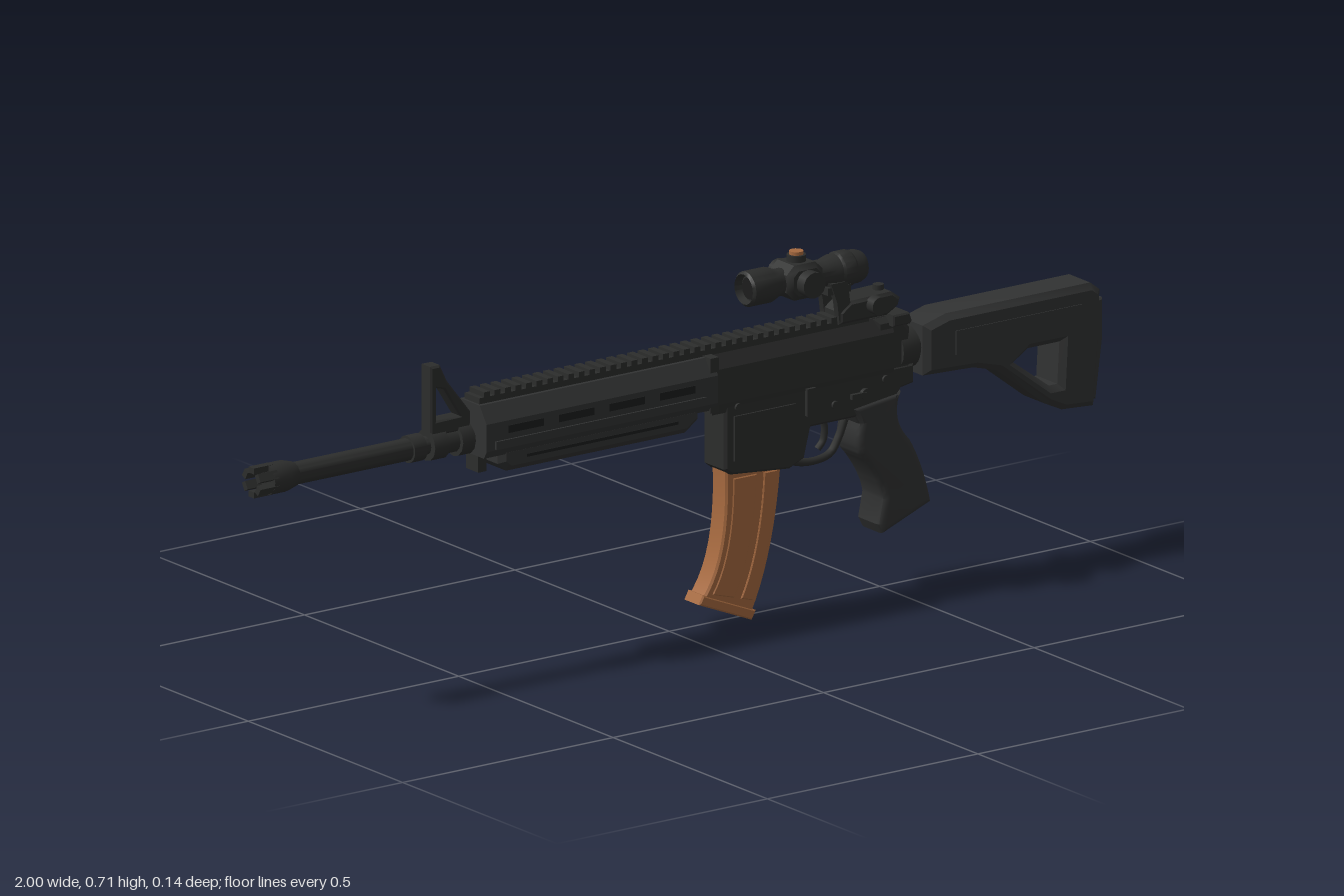
import * as THREE from 'three';
import { toCreasedNormals } from 'three/addons/utils/BufferGeometryUtils.js';

const mat = (name, color) => Object.assign(new THREE.MeshStandardMaterial({ color }), { name });

export function createModel() {
  const metal = mat('black metal', 0x2c2d2c);
  const polymer = mat('black polymer', 0x313232);
  const shadow = mat('recess black', 0x1c1d1d);
  const brown = mat('brown polymer', 0xa5693f);
  const silver = mat('bare steel', 0xc8c8c8);
  const root = new THREE.Group();
  root.name = 'rifle';
  root.position.z = 0.009;
  const AXIS = 0.48; // bore height

  const add = (name, geo, m, x = 0, y = 0, z = 0) => {
    const mesh = new THREE.Mesh(geo, m);
    mesh.name = name;
    mesh.position.set(x, y, z);
    root.add(mesh);
    return mesh;
  };
  const box = (name, m, x0, x1, y0, y1, z0, z1) =>
    add(name, new THREE.BoxGeometry(x1 - x0, y1 - y0, z1 - z0), m, (x0 + x1) / 2, (y0 + y1) / 2, (z0 + z1) / 2);
  const vecs = (pts) => pts.map(([x, y]) => new THREE.Vector2(x, y));
  // side silhouette (points or a shape) extruded across the width, with a bevelled rim
  const slab = (name, m, outline, half, bevel = 0, hole = null, segs = 1) => {
    const shape = Array.isArray(outline) ? new THREE.Shape(vecs(outline)) : outline;
    if (hole) shape.holes.push(new THREE.Path(vecs(hole)));
    const geo = new THREE.ExtrudeGeometry(shape, {
      depth: 2 * (half - bevel), bevelEnabled: bevel > 0, bevelThickness: bevel,
      bevelSize: bevel, bevelOffset: -bevel, bevelSegments: segs, curveSegments: 10,
    });
    geo.translate(0, 0, -(half - bevel));
    return add(name, toCreasedNormals(geo, 0.6), m);
  };
  // symmetric (z, y) section swept along x; only the +z half is listed, bottom to top
  const sweep = (name, m, halfSection, x0, x1) => {
    const pts = [...halfSection, ...halfSection.slice().reverse().map(([z, y]) => [-z, y])];
    const geo = new THREE.ExtrudeGeometry(new THREE.Shape(vecs(pts)), { depth: x1 - x0, bevelEnabled: false });
    geo.rotateY(Math.PI / 2);
    return add(name, geo, m, x0);
  };
  // profile of [x, radius] turned around a line along x
  const turned = (name, m, profile, y, sides = 20) => {
    const geo = new THREE.LatheGeometry(profile.map(([x, r]) => new THREE.Vector2(r, x)), sides);
    geo.rotateZ(-Math.PI / 2);
    return add(name, toCreasedNormals(geo, 0.6), m, 0, y);
  };
  const pin = (name, m, x, y, z, r, len, axis = 'z') => {
    const geo = new THREE.CylinderGeometry(r, r, len, 14);
    if (axis === 'z') geo.rotateX(Math.PI / 2);
    if (axis === 'x') geo.rotateZ(Math.PI / 2);
    return add(name, geo, m, x, y, z);
  };
  const tube = (name, m, pts, r) => add(name, new THREE.TubeGeometry(
    new THREE.CatmullRomCurve3(pts.map(([x, y]) => new THREE.Vector3(x, y, 0))), 20, r, 8), m);

  // barrel and pronged flash hider
  turned('barrel', metal, [[-0.93, 0], [-0.93, 0.022], [-0.63, 0.022], [-0.63, 0.027], [-0.6, 0.027],
    [-0.6, 0.018], [-0.45, 0.018], [-0.45, 0]], AXIS);
  turned('flashHider', metal, [[-0.965, 0], [-0.965, 0.031], [-0.925, 0.031], [-0.9, 0.024], [-0.9, 0]], AXIS, 14);
  for (let i = 0; i < 6; i++) {
    const a = (i / 6) * Math.PI * 2;
    const prong = add('muzzleProng', new THREE.BoxGeometry(0.045, 0.012, 0.017), metal,
      -0.977, AXIS + 0.024 * Math.cos(a), 0.024 * Math.sin(a));
    prong.rotation.x = a;
  }

  // gas block and front sight
  turned('gasBlock', metal, [[-0.585, 0], [-0.585, 0.031], [-0.55, 0.031], [-0.55, 0.024], [-0.52, 0.024],
    [-0.52, 0.033], [-0.49, 0.033], [-0.49, 0]], AXIS, 12);
  slab('frontSight', metal, [[-0.585, 0.455], [-0.55, 0.455], [-0.55, 0.5], [-0.49, 0.5], [-0.49, 0.535], [-0.545, 0.605],
    [-0.562, 0.64], [-0.585, 0.64]], 0.017, 0.004, [[-0.57, 0.53], [-0.515, 0.53], [-0.553, 0.59], [-0.57, 0.595]]);

  // handguard
  sweep('handguardUpper', polymer, [[0.045, 0.445], [0.054, 0.46], [0.054, 0.515], [0.032, 0.548]], -0.48, 0.07);
  slab('handguardLower', polymer, [[-0.44, 0.46], [-0.44, 0.425], [-0.42, 0.408], [0.005, 0.408], [0.035, 0.43], [0.035, 0.46]], 0.047, 0.012);
  box('handguardFrontLug', metal, -0.475, -0.455, 0.41, 0.45, -0.02, 0.02);
  box('barrelNutBand', metal, 0.055, 0.075, 0.44, 0.55, -0.05, 0.05);
  for (const s of [1, -1]) {
    for (let i = 0; i < 4; i++) {
      const x = -0.43 + i * 0.12;
      box('ventSlot', shadow, x, x + 0.085, 0.49, 0.505, s * 0.054 - 0.002, s * 0.054 + 0.002);
    }
    box('sideStrip', polymer, -0.46, 0.04, 0.462, 0.478, s * 0.055 - 0.003, s * 0.055 + 0.003);
    box('lowerGroove', shadow, -0.38, -0.02, 0.432, 0.438, s * 0.047 - 0.002, s * 0.047 + 0.002);
  }

  // toothed top rail along the handguard and receiver
  const comb = [[-0.475, 0.535], [0.45, 0.535]];
  for (let x = 0.45; x > -0.47; x -= 0.025) comb.push([x, 0.57], [x - 0.014, 0.57], [x - 0.014, 0.56], [x - 0.025, 0.56]);
  slab('topRail', metal, comb, 0.024);

  // upper receiver
  sweep('upperReceiver', metal, [[0.034, 0.43], [0.038, 0.45], [0.038, 0.52], [0.022, 0.552]], 0.07, 0.5);
  slab('receiverRear', metal, [[0.46, 0.44], [0.46, 0.55], [0.52, 0.55], [0.545, 0.52], [0.545, 0.42]], 0.034, 0.01);
  slab('chargingHandle', metal, [[0.49, 0.535], [0.49, 0.558], [0.528, 0.558], [0.535, 0.54], [0.53, 0.535]], 0.05, 0.003);
  box('ejectionPort', silver, 0.11, 0.3, 0.465, 0.52, -0.042, -0.036);
  const portTop = add('ejectionPortTop', new THREE.BoxGeometry(0.17, 0.028, 0.006), silver, 0.195, 0.528, -0.034);
  portTop.rotation.x = 0.5;
  box('dustCover', metal, 0.11, 0.31, 0.452, 0.464, -0.048, -0.036);
  // case deflector and angled forward assist, right side only
  const deflector = add('caseDeflector', new THREE.ConeGeometry(0.03, 0.06, 4), metal, 0.35, 0.5, -0.036);
  deflector.rotation.z = Math.PI / 2;
  const assist = pin('forwardAssist', metal, 0.46, 0.505, -0.042, 0.017, 0.09, 'x');
  assist.rotation.y = 0.35;
  const button = pin('forwardAssistButton', metal, 0.497, 0.485, -0.058, 0.013, 0.03, 'x');
  button.rotation.y = 0.35;

  // lower receiver and magazine well
  slab('lowerReceiver', metal, [[0.1, 0.45], [0.1, 0.315], [0.115, 0.303], [0.255, 0.29], [0.29, 0.305], [0.305, 0.365],
    [0.49, 0.365], [0.52, 0.405], [0.55, 0.41], [0.55, 0.45]], 0.036, 0.005);
  for (const s of [1, -1]) {
    box('magazineWellPanel', metal, 0.12, 0.265, 0.33, 0.42, s * 0.037 - 0.003, s * 0.037 + 0.003);
    for (const [x, y] of [[0.13, 0.437], [0.36, 0.4], [0.48, 0.43]]) pin('receiverPin', metal, x, y, s * 0.037, 0.008, 0.008);
    pin('selectorHub', metal, 0.43, 0.41, s * 0.038, 0.011, 0.012);
    box('selectorLever', metal, 0.395, 0.43, 0.405, 0.415, s * 0.042 - 0.004, s * 0.042 + 0.004);
  }
  box('boltCatch', metal, 0.29, 0.31, 0.39, 0.445, 0.034, 0.044);
  box('magazineRelease', metal, 0.285, 0.315, 0.385, 0.405, -0.046, -0.034);

  // trigger and guard
  tube('triggerGuard', metal, [[0.265, 0.305], [0.29, 0.29], [0.335, 0.283], [0.375, 0.292], [0.395, 0.32], [0.41, 0.355]], 0.008);
  tube('trigger', metal, [[0.355, 0.375], [0.362, 0.345], [0.358, 0.32], [0.345, 0.305]], 0.007);

  // pistol grip
  const grip = new THREE.Shape();
  grip.moveTo(0.4, 0.385);
  grip.lineTo(0.42, 0.35);
  grip.quadraticCurveTo(0.405, 0.3, 0.432, 0.275);
  grip.quadraticCurveTo(0.47, 0.225, 0.475, 0.19);
  grip.lineTo(0.465, 0.14);
  grip.lineTo(0.475, 0.12);
  grip.lineTo(0.59, 0.165);
  grip.quadraticCurveTo(0.575, 0.24, 0.54, 0.3);
  grip.quadraticCurveTo(0.495, 0.345, 0.52, 0.4);
  slab('pistolGrip', polymer, grip, 0.041, 0.014, null, 3);

  // curved magazine: u runs front to back, v runs top to bottom
  const arc = (p, c, q) => new THREE.QuadraticBezierCurve(...vecs([p, c, q]));
  const frontArc = arc([0.11, 0.33], [0.122, 0.13], [0.05, 0.055]);
  const backArc = arc([0.245, 0.33], [0.232, 0.13], [0.172, 0.012]);
  const magPoint = (u, v) => frontArc.getPoint(v).lerp(backArc.getPoint(v), u).toArray();
  const magBand = (u0, u1, v0, v1) => {
    const pts = [];
    for (let i = 0; i <= 10; i++) pts.push(magPoint(u0, v0 + ((v1 - v0) * i) / 10));
    for (let i = 10; i >= 0; i--) pts.push(magPoint(u1, v0 + ((v1 - v0) * i) / 10));
    return pts;
  };
  slab('magazine', brown, magBand(0, 1, 0, 1), 0.024, 0.004);
  slab('magazineSpineRib', brown, magBand(0.68, 0.92, 0.1, 0.9), 0.027, 0.002);
  slab('magazineFrontRib', brown, magBand(0.12, 0.55, 0.1, 0.9), 0.026, 0.002);
  slab('magazineBase', brown, [[0.046, 0.052], [0.172, 0], [0.182, 0.018], [0.056, 0.07]], 0.026, 0.003);

  // buffer tube and stock with an open triangle
  turned('bufferTube', metal, [[0.52, 0], [0.52, 0.042], [0.56, 0.042], [0.56, 0.03], [0.7, 0.03], [0.7, 0]], AXIS - 0.005);
  slab('stock', polymer, [[0.57, 0.42], [0.57, 0.52], [0.625, 0.535], [0.968, 0.535], [0.99, 0.518], [0.988, 0.42],
    [0.975, 0.288], [0.9, 0.293], [0.86, 0.312], [0.745, 0.4], [0.69, 0.415]], 0.046, 0.012,
  [[0.785, 0.408], [0.87, 0.346], [0.89, 0.346], [0.895, 0.43], [0.82, 0.43]]);
  slab('buttPad', polymer, [[0.968, 0.5], [0.998, 0.5], [0.998, 0.42], [0.982, 0.3], [0.955, 0.3]], 0.036, 0.004);
  for (const s of [1, -1]) box('stockPanel', polymer, 0.64, 0.94, 0.452, 0.5, s * 0.046 - 0.002, s * 0.046 + 0.002);

  // optic
  const SIGHT = 0.656;
  turned('scopeTube', metal, [[0.185, 0], [0.185, 0.026], [0.17, 0.03], [0.175, 0.035], [0.225, 0.035], [0.245, 0.027], [0.355, 0.027],
    [0.375, 0.033], [0.435, 0.033], [0.447, 0.028], [0.44, 0.024], [0.43, 0]], SIGHT);
  for (const x of [0.184, 0.4405]) pin('lens', shadow, x, SIGHT, 0, 0.022, 0.004, 'x');
  turned('scopeRing', metal, [[0.385, 0.033], [0.39, 0.036], [0.415, 0.036], [0.42, 0.033]], SIGHT);
  slab('scopeHousing', metal, [[0.252, 0.64], [0.252, 0.675], [0.27, 0.692], [0.32, 0.692], [0.338, 0.675], [0.338, 0.64],
    [0.32, 0.622], [0.27, 0.622]], 0.037, 0.01);
  pin('sideTurrets', metal, 0.295, SIGHT, 0, 0.026, 0.12);
  pin('topTurret', metal, 0.295, 0.695, 0, 0.019, 0.02, 'y');
  pin('topTurretCap', brown, 0.295, 0.7075, 0, 0.014, 0.009, 'y');

  // two-legged scope mount and rear sight
  for (const s of [1, -1]) {
    const leg = slab('mountLeg', metal, [[0.355, 0.64], [0.395, 0.64], [0.4, 0.6], [0.415, 0.56], [0.375, 0.56], [0.37, 0.6]], 0.007);
    leg.position.z = s * 0.024;
  }
  box('mountSaddle', metal, 0.35, 0.405, 0.617, 0.632, -0.028, 0.028);
  slab('rearSight', metal, [[0.375, 0.555], [0.375, 0.58], [0.4, 0.598], [0.5, 0.6], [0.52, 0.585], [0.515, 0.57], [0.49, 0.555]], 0.034, 0.006);
  pin('rearSightKnob', metal, 0.455, 0.584, 0.043, 0.018, 0.022);
  pin('rearSightPost', metal, 0.49, 0.6, 0, 0.011, 0.02, 'y');

  return root;
}
